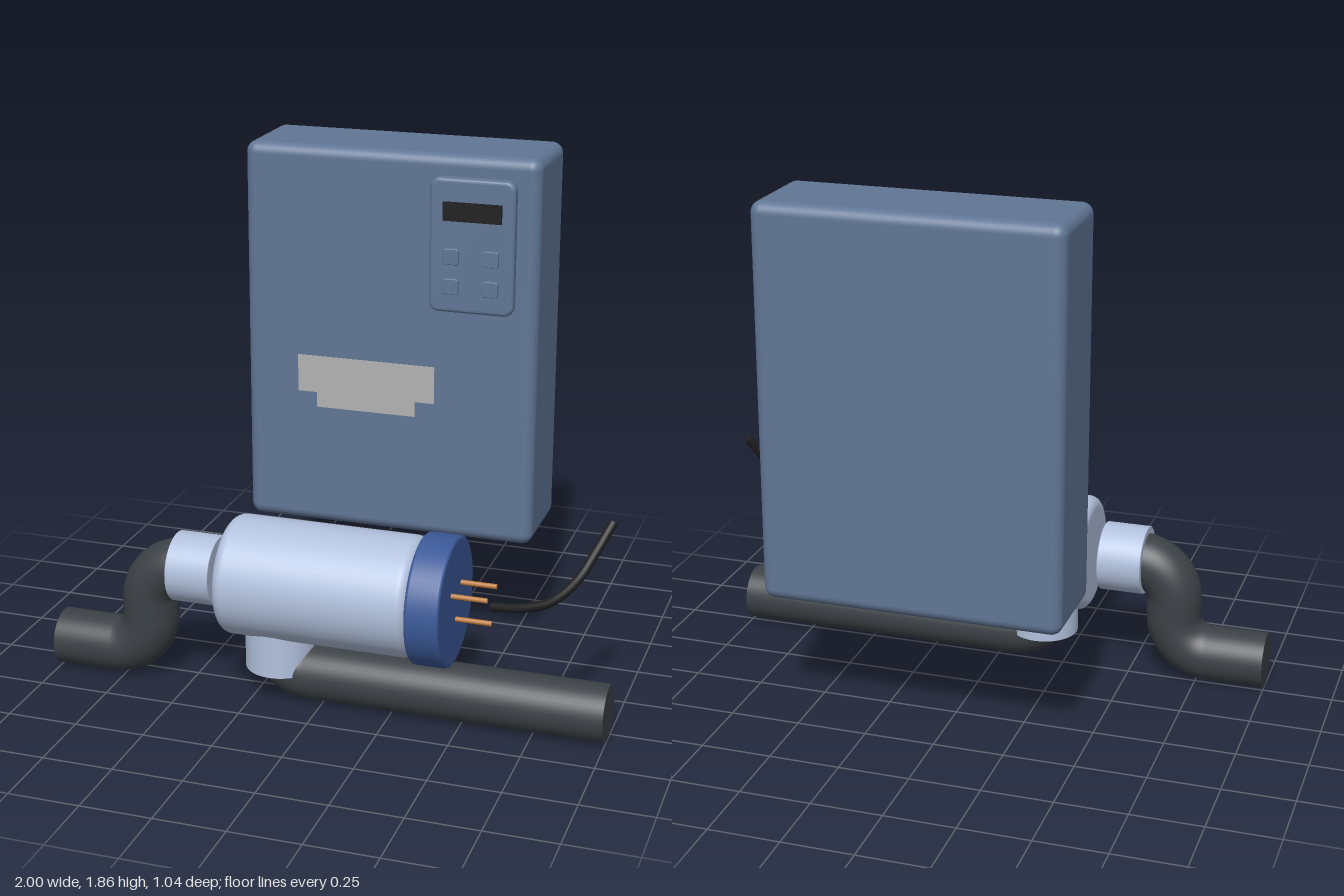
import * as THREE from 'three';
import { RoundedBoxGeometry } from 'three/addons/geometries/RoundedBoxGeometry.js';

const mat = (name, color, side = THREE.FrontSide) => {
  const m = new THREE.MeshStandardMaterial({ color, side });
  m.name = name;
  return m;
};

// Pipe route: straight runs joined by round elbows of radius r
function route(points, r) {
  const p = points.map(([x, y, z]) => new THREE.Vector3(x, y, z));
  const path = new THREE.CurvePath();
  let last = p[0];
  for (let i = 1; i < p.length - 1; i++) {
    const dirIn = p[i].clone().sub(p[i - 1]).normalize();
    const dirOut = p[i + 1].clone().sub(p[i]).normalize();
    const a = p[i].clone().addScaledVector(dirIn, -r);
    const b = p[i].clone().addScaledVector(dirOut, r);
    path.add(new THREE.LineCurve3(last, a));
    path.add(new THREE.CubicBezierCurve3(a, a.clone().addScaledVector(dirIn, r * 0.552),
      b.clone().addScaledVector(dirOut, -r * 0.552), b));
    last = b;
  }
  path.add(new THREE.LineCurve3(last, p[p.length - 1]));
  return path;
}

// Lathe profile of a solid drum with rounded rims, along +y from 0 to length
function drum(radius, length, round) {
  const pts = [new THREE.Vector2(0, 0)];
  for (const end of [0, 1]) {
    for (let i = 0; i <= 6; i++) {
      const t = (i / 6) * Math.PI / 2;
      const s = end ? Math.cos(t) : Math.sin(t);
      const c = end ? Math.sin(t) : Math.cos(t);
      pts.push(new THREE.Vector2(radius - round + round * s,
        end ? length - round + round * c : round - round * c));
    }
  }
  pts.push(new THREE.Vector2(0, length));
  return new THREE.LatheGeometry(pts, 64);
}

// Rounded plate with a softened front edge, back at z = 0
function plate(w, h, depth, radius, bevel) {
  const s = new THREE.Shape();
  const x = w / 2 - bevel, y = h / 2 - bevel, r = radius - bevel;
  s.absarc(x - r, y - r, r, 0, Math.PI / 2);
  s.absarc(-x + r, y - r, r, Math.PI / 2, Math.PI);
  s.absarc(-x + r, -y + r, r, Math.PI, Math.PI * 1.5);
  s.absarc(x - r, -y + r, r, Math.PI * 1.5, Math.PI * 2);
  const g = new THREE.ExtrudeGeometry(s, {
    depth: depth - 2 * bevel, bevelSize: bevel, bevelThickness: bevel, bevelSegments: 4, curveSegments: 8,
  });
  return g.translate(0, 0, bevel);
}

export function createModel() {
  const model = new THREE.Group();
  model.name = 'chlorinatorUnit';
  const slate = mat('slateCasing', 0x617695);
  const pale = mat('paleHousing', 0xb2c1dd);
  const blue = mat('blueCap', 0x3b5998);
  const pipeGrey = mat('darkPipe', 0x3c4145);
  const copper = mat('copper', 0xbb7a3c);
  const black = mat('blackRubber', 0x1f1f1f);
  const labelGrey = mat('labelGrey', 0xb3b3b3);

  const add = (name, geometry, material, x = 0, y = 0, z = 0, parent = model) => {
    const m = new THREE.Mesh(geometry, material);
    m.name = name;
    m.position.set(x, y, z);
    parent.add(m);
    return m;
  };

  // Wall cabinet
  add('cabinet', new RoundedBoxGeometry(1.06, 1.39, 0.365, 6, 0.04), slate, 0.08, 1.165, -0.34);

  // Control panel with display and four buttons
  const panel = new THREE.Group();
  panel.name = 'controlPanel';
  panel.position.set(0.385, 1.555, -0.16);
  model.add(panel);
  add('panelPlate', plate(0.3, 0.47, 0.044, 0.035, 0.014), slate, 0, 0, 0, panel);
  add('display', new THREE.BoxGeometry(0.205, 0.065, 0.012), black, 0.003, 0.122, 0.048, panel);
  for (const x of [-0.07, 0.07])
    for (const y of [-0.035, -0.14])
      add('button', plate(0.056, 0.056, 0.014, 0.01, 0.003), slate, x, y, 0.041, panel);

  // Stepped label plate
  const label = new THREE.Shape([
    [-0.255, 0.97], [-0.185, 0.97], [-0.185, 0.915], [0.18, 0.915],
    [0.18, 0.97], [0.25, 0.97], [0.25, 1.105], [-0.255, 1.105],
  ].map(([x, y]) => new THREE.Vector2(x, y)));
  add('label', new THREE.ExtrudeGeometry(label, { depth: 0.004, bevelEnabled: false }), labelGrey, 0, 0, -0.1585);

  // Cell housing, end cap and pipe fittings
  const cy = 0.433, cz = 0.295;
  const alongX = (g) => g.rotateZ(-Math.PI / 2);
  add('cellHousing', alongX(drum(0.21, 0.695, 0.04)), pale, -0.35, cy, cz);
  add('endCap', alongX(drum(0.227, 0.12, 0.012)), blue, 0.345, cy, cz);
  add('inletCollar', alongX(drum(0.124, 0.16, 0.004)), pale, -0.55, cy, cz);
  add('outletCollar', new THREE.CylinderGeometry(0.125, 0.125, 0.19, 48), pale, -0.165, 0.205, cz);

  // Pipes with closed ends
  const pipe = (name, points, bend) => {
    const g = new THREE.Group();
    g.name = name;
    model.add(g);
    add(name + 'Run', new THREE.TubeGeometry(route(points, bend), 120, 0.1, 40), pipeGrey, 0, 0, 0, g);
    const [x, y, z] = points[0];
    const end = add(name + 'End', new THREE.CircleGeometry(0.1, 40), pipeGrey, x, y, z, g);
    end.rotation.y = Math.sign(x) * Math.PI / 2;
  };
  pipe('inletPipe', [[-1, 0.1, cz], [-0.655, 0.1, cz], [-0.655, cy, cz], [-0.5, cy, cz]], 0.135);
  pipe('outletPipe', [[1, 0.1, cz], [-0.165, 0.1, cz], [-0.165, 0.26, cz]], 0.105);

  // Terminal pins
  for (const [y, z] of [[0.48, -0.062], [0.37, 0], [0.48, 0.062]])
    add('terminalPin', alongX(new THREE.CylinderGeometry(0.009, 0.009, 0.14, 16)), copper, 0.52, y, cz + z);

  // Loose cable
  const cable = new THREE.CatmullRomCurve3([
    [0.59, 0.432, 0.293], [0.7, 0.457, 0.325], [0.8, 0.497, 0.336],
    [0.88, 0.575, 0.311], [0.93, 0.665, 0.265], [0.975, 0.758, 0.215],
  ].map((p) => new THREE.Vector3(...p)));
  add('cable', new THREE.TubeGeometry(cable, 60, 0.016, 16), black);
  for (const t of [0, 1]) {
    const p = cable.getPoint(t);
    const end = add('cableEnd', new THREE.CircleGeometry(0.016, 16), black, p.x, p.y, p.z);
    end.lookAt(p.clone().addScaledVector(cable.getTangent(t), t ? 1 : -1));
  }
  return model;
}
